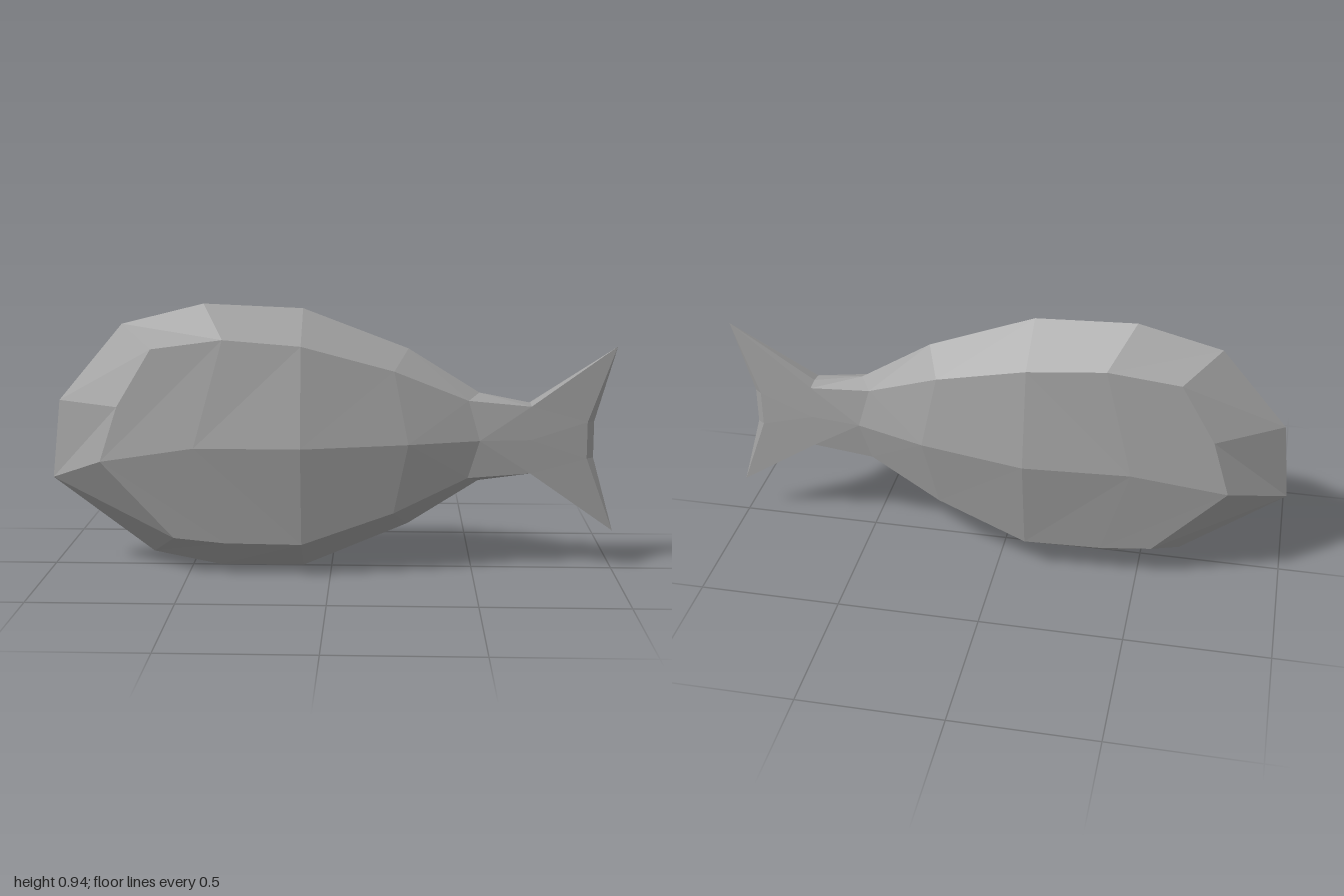
import * as THREE from 'three';

// Collects faces for the z > 0 half and mirrors each one across z = 0.
function mirroredMesh(name, polygons, material) {
  const positions = [];
  for (const poly of polygons) {
    for (let k = 1; k < poly.length - 1; k++) {
      const [a, b, c] = [poly[0], poly[k], poly[k + 1]];
      positions.push(...a, ...b, ...c);
      for (const [x, y, z] of [a, c, b]) positions.push(x, y, -z);
    }
  }
  const geometry = new THREE.BufferGeometry();
  geometry.setAttribute('position', new THREE.Float32BufferAttribute(positions, 3));
  geometry.computeVertexNormals();
  const mesh = new THREE.Mesh(geometry, material);
  mesh.name = name;
  return mesh;
}

export function createModel() {
  const grey = new THREE.MeshStandardMaterial({ color: 0xa0a0a0, flatShading: true });
  grey.name = 'fish grey';

  // Lengthwise lines of the body, head to tail
  const ridge = [[-0.74, 0.873, 0], [-0.45, 0.945, 0], [-0.1, 0.93, 0], [0.27, 0.79, 0], [0.52, 0.635, 0], [0.7, 0.6, 0]];
  const upper = [[-0.62, 0.8, 0.14], [-0.37, 0.835, 0.157], [-0.1, 0.815, 0.17], [0.22, 0.725, 0.125], [0.48, 0.615, 0.063], [0.7, 0.593, 0.047]];
  const middle = [[-0.8, 0.41, 0.168], [-0.47, 0.465, 0.2], [-0.1, 0.47, 0.23], [0.27, 0.475, 0.16], [0.52, 0.475, 0.075], [0.7, 0.475, 0.051]];
  const lower = [[-0.55, 0.135, 0.148], [-0.37, 0.12, 0.157], [-0.1, 0.12, 0.17], [0.22, 0.225, 0.125], [0.48, 0.34, 0.063], [0.7, 0.355, 0.047]];
  const belly = [[-0.64, 0.05, 0], [-0.4, 0.002, 0], [-0.1, 0.003, 0], [0.27, 0.16, 0], [0.52, 0.32, 0], [0.7, 0.35, 0]];
  const rows = [ridge, upper, middle, lower, belly];

  // Body, triangulated symmetrically above and below the middle line
  const body = [];
  for (let j = 0; j < rows.length - 1; j++) {
    for (let i = 0; i < ridge.length - 1; i++) {
      const [a, b, c, d] = [rows[j][i], rows[j + 1][i], rows[j + 1][i + 1], rows[j][i + 1]];
      body.push(j % 2 ? [b, c, d, a] : [a, b, c, d]);
    }
  }

  // Head, closing to a narrow vertical snout
  const snout = [-0.97, 0.6, 0], chin = [-1, 0.32, 0], cheek = [-0.74, 0.6, 0.152];
  const head = [
    [snout, cheek, upper[0], ridge[0]],
    [chin, middle[0], cheek, snout],
    [cheek, middle[0], upper[0]],
    [chin, belly[0], lower[0], middle[0]],
  ];

  // Tail fin, a tapering wedge with a narrow trailing edge
  const tipTop = [1, 0.8, 0], tipBottom = [1, 0.14, 0];
  const sideTop = [0.9, 0.535, 0.02], sideBottom = [0.9, 0.405, 0.02];
  const notchTop = [0.925, 0.535, 0], notchBottom = [0.925, 0.405, 0];
  const tail = [
    [ridge[5], upper[5], tipTop],
    [upper[5], sideTop, tipTop],
    [upper[5], middle[5], sideTop],
    [middle[5], sideBottom, sideTop],
    [middle[5], lower[5], sideBottom],
    [lower[5], tipBottom, sideBottom],
    [lower[5], belly[5], tipBottom],
    [sideTop, notchTop, tipTop],
    [sideTop, sideBottom, notchBottom, notchTop],
    [sideBottom, tipBottom, notchBottom],
  ];

  const fish = new THREE.Group();
  fish.name = 'fish';
  fish.add(
    mirroredMesh('body', body, grey),
    mirroredMesh('head', head, grey),
    mirroredMesh('tailFin', tail, grey),
  );
  return fish;
}
